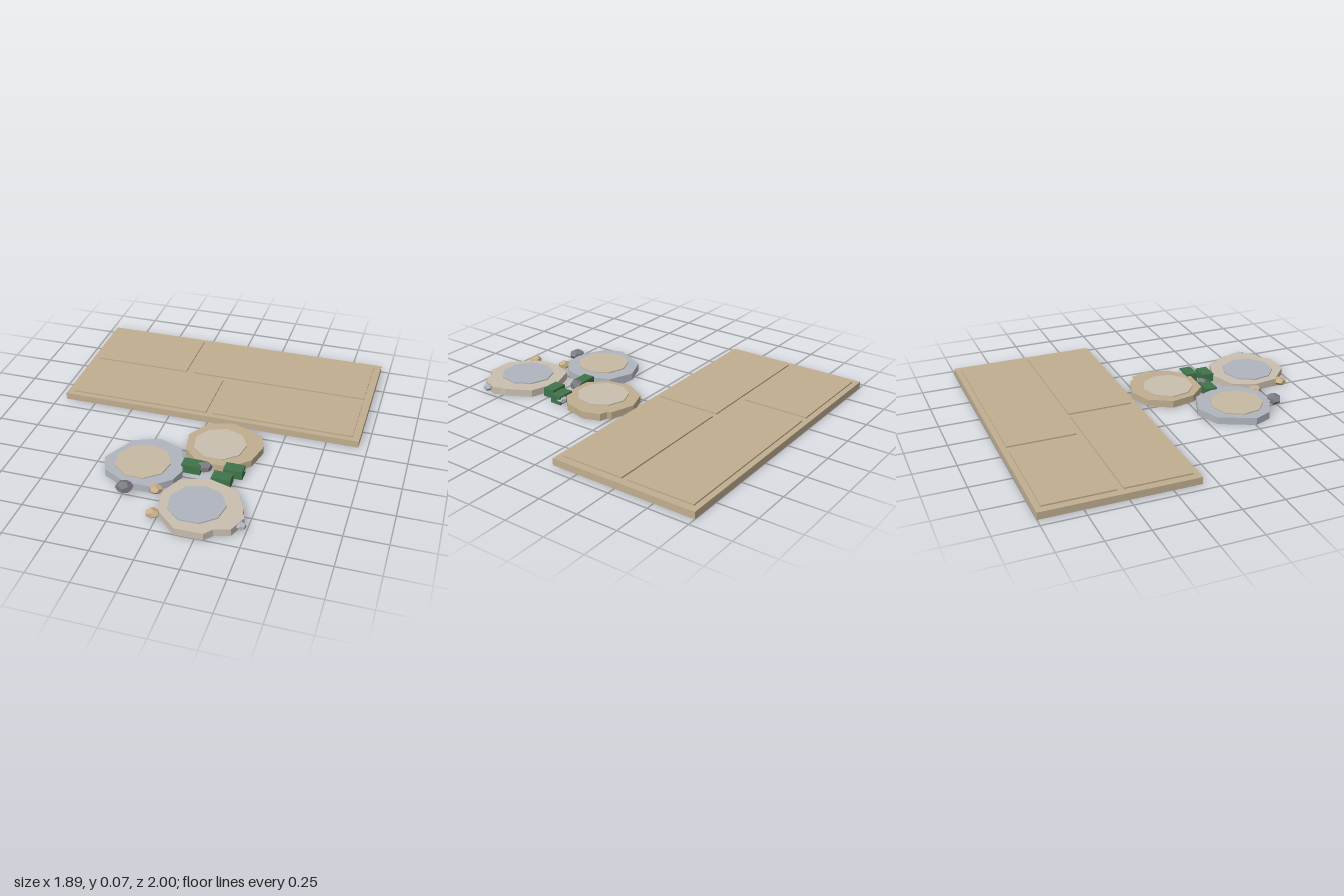
import * as THREE from 'three';

const mat = (name, color) => {
  const m = new THREE.MeshStandardMaterial({ color, flatShading: true });
  m.name = name;
  return m;
};

export function createModel() {
  const group = new THREE.Group();
  const sand = mat('sandstone', 0xc0ae90);
  const cream = mat('creamStone', 0xc9bfb0);
  const blueGrey = mat('blueGreyStone', 0xb0b5be);
  const paleSand = mat('paleSandstone', 0xc8baa2);
  const darkGrey = mat('darkPebble', 0x7b7b83);
  const tan = mat('tanPebble', 0xc8ae88);
  const green = mat('mossGreen', 0x3f744b);

  const add = (name, geometry, material, x = 0, y = 0, z = 0) => {
    const mesh = new THREE.Mesh(geometry, material);
    mesh.name = name;
    mesh.position.set(x, y, z);
    group.add(mesh);
    return mesh;
  };
  // Box given by its extents
  const box = (name, material, x0, x1, y0, y1, z0, z1) =>
    add(name, new THREE.BoxGeometry(x1 - x0, y1 - y0, z1 - z0), material,
      (x0 + x1) / 2, (y0 + y1) / 2, (z0 + z1) / 2);

  // Paved slab with two staggered rows of raised tiles
  box('slab', sand, -0.945, 0.945, 0, 0.043, -1, -0.08);
  for (const [x0, x1, z0, z1] of [
    [-0.9, -0.285, -0.965, -0.55], [-0.235, 0.9, -0.965, -0.55],
    [-0.9, -0.02, -0.515, -0.115], [0.02, 0.9, -0.515, -0.115],
  ]) box('tile', sand, x0, x1, 0.04, 0.052, z0, z1);

  // Stepping stones: chipped outline plus a nine-sided raised top
  const steppingStone = (outline, material, x, z, r, topMaterial) => {
    const shape = new THREE.Shape(outline.map(([px, pz]) => new THREE.Vector2(px, -pz)));
    const geometry = new THREE.ExtrudeGeometry(shape, { depth: 0.045, bevelEnabled: false });
    add('steppingStone', geometry.rotateX(-Math.PI / 2), material);
    const top = new THREE.CylinderGeometry(r, r, 0.012, 9).rotateY(Math.PI);
    add('stoneTop', top, topMaterial, x, 0.046, z);
  };
  steppingStone([[0.17, -0.05], [0.32, 0], [0.335, 0.025], [0.38, 0.04], [0.415, 0.14],
    [0.38, 0.29], [0.27, 0.39], [0.08, 0.39], [-0.02, 0.29], [-0.05, 0.14], [0.03, 0]],
  sand, 0.16, 0.19, 0.16, cream);
  steppingStone([[-0.2, 0.235], [-0.045, 0.295], [0, 0.41], [0.025, 0.505], [0, 0.595],
    [-0.11, 0.695], [-0.26, 0.695], [-0.34, 0.65], [-0.405, 0.615], [-0.45, 0.505],
    [-0.41, 0.42], [-0.35, 0.295]],
  blueGrey, -0.22, 0.485, 0.165, paleSand);
  steppingStone([[0.195, 0.53], [0.37, 0.585], [0.45, 0.73], [0.455, 0.77], [0.475, 0.81],
    [0.43, 0.92], [0.34, 0.95], [0.3, 1], [0.135, 1], [0, 0.875], [-0.025, 0.72], [0.035, 0.585]],
  cream, 0.195, 0.775, 0.165, blueGrey);

  // Moss blocks between the stones
  for (const [x, z] of [[0.06, 0.425], [0.305, 0.4], [0.26, 0.495]])
    box('mossBlock', green, x - 0.057, x + 0.057, 0.003, 0.057, z - 0.037, z + 0.037);

  // Flattened faceted pebbles
  [
    [-0.245, 0.73, 0.053, 0.04, 0.034, darkGrey], [0.135, 0.42, 0.045, 0.04, 0.032, darkGrey],
    [-0.07, 0.695, 0.042, 0.035, 0.027, tan], [-0.02, 0.9, 0.043, 0.035, 0.027, tan],
    [0.335, 0.37, 0.036, 0.03, 0.023, blueGrey], [0.468, 0.86, 0.032, 0.03, 0.022, blueGrey],
  ].forEach(([x, z, r, y, h, material], i) => {
    const geometry = new THREE.DodecahedronGeometry(1).rotateY(i * 0.8).scale(r, h, r * 0.9);
    add('pebble', geometry, material, x, y, z);
  });

  return group;
}
